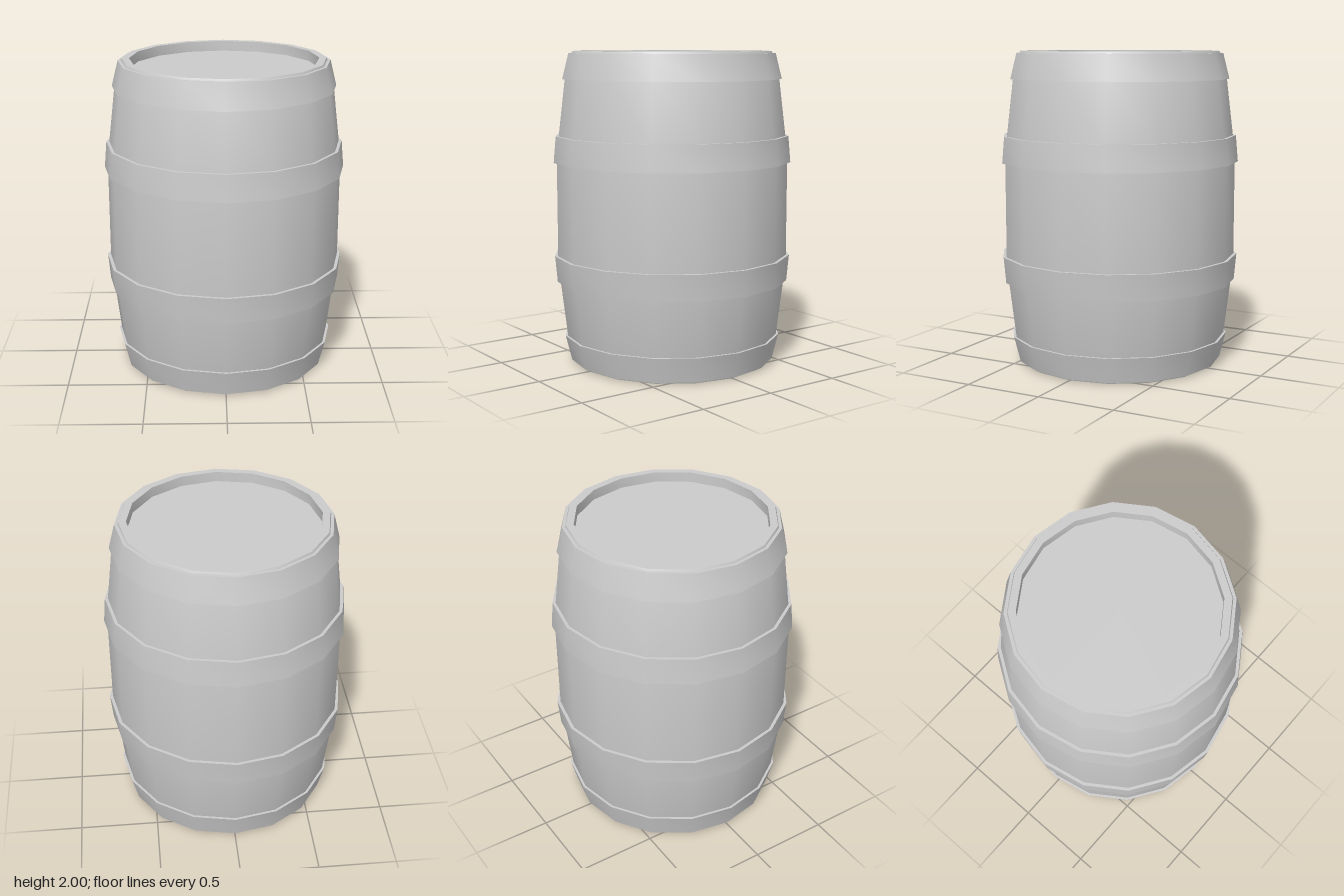
import * as THREE from 'three';
import { toCreasedNormals } from 'three/addons/utils/BufferGeometryUtils.js';

const SIDES = 16;
const HEIGHT = 2;
const material = new THREE.MeshStandardMaterial({ color: 0xcccccc });

// Spin a [radius, y] profile (outer side running upwards) into a 16-sided part
function turned(name, profile) {
  const points = profile.map(([r, y]) => new THREE.Vector2(r, y));
  const geometry = toCreasedNormals(new THREE.LatheGeometry(points, SIDES), Math.PI / 6);
  const mesh = new THREE.Mesh(geometry, material);
  mesh.name = name;
  return mesh;
}

// Mirror a profile about mid height, keeping its upward order
const flip = (profile) => profile.map(([r, y]) => [r, HEIGHT - y]).reverse();

export function createModel() {
  const barrel = new THREE.Group();
  barrel.name = 'barrel';

  // Bulging staves, with flat rims that drop to the recessed heads
  const upper = [
    [0.745, 1.3], [0.731, 1.467], [0.688, 1.825], [0.645, 1.985],
    [0.638, 2], [0.592, 2], [0.592, 1.935],
  ];
  barrel.add(turned('staves', [...flip(upper), ...upper]));

  // Recessed lids at both ends
  const head = [[0.592, 1.935], [0, 1.935]];
  barrel.add(turned('topHead', head), turned('bottomHead', flip(head)));

  // Tapered hoops: inner bottom, outer bottom, outer top, inner top
  const endHoop = [[0.685, 1.825], [0.704, 1.825], [0.663, 1.987], [0.638, 1.987]];
  const middleHoop = [[0.74, 1.3], [0.765, 1.3], [0.75, 1.467], [0.725, 1.467]];
  barrel.add(
    turned('topEndHoop', endHoop),
    turned('upperMiddleHoop', middleHoop),
    turned('lowerMiddleHoop', flip(middleHoop)),
    turned('bottomEndHoop', flip(endHoop)),
  );

  return barrel;
}
